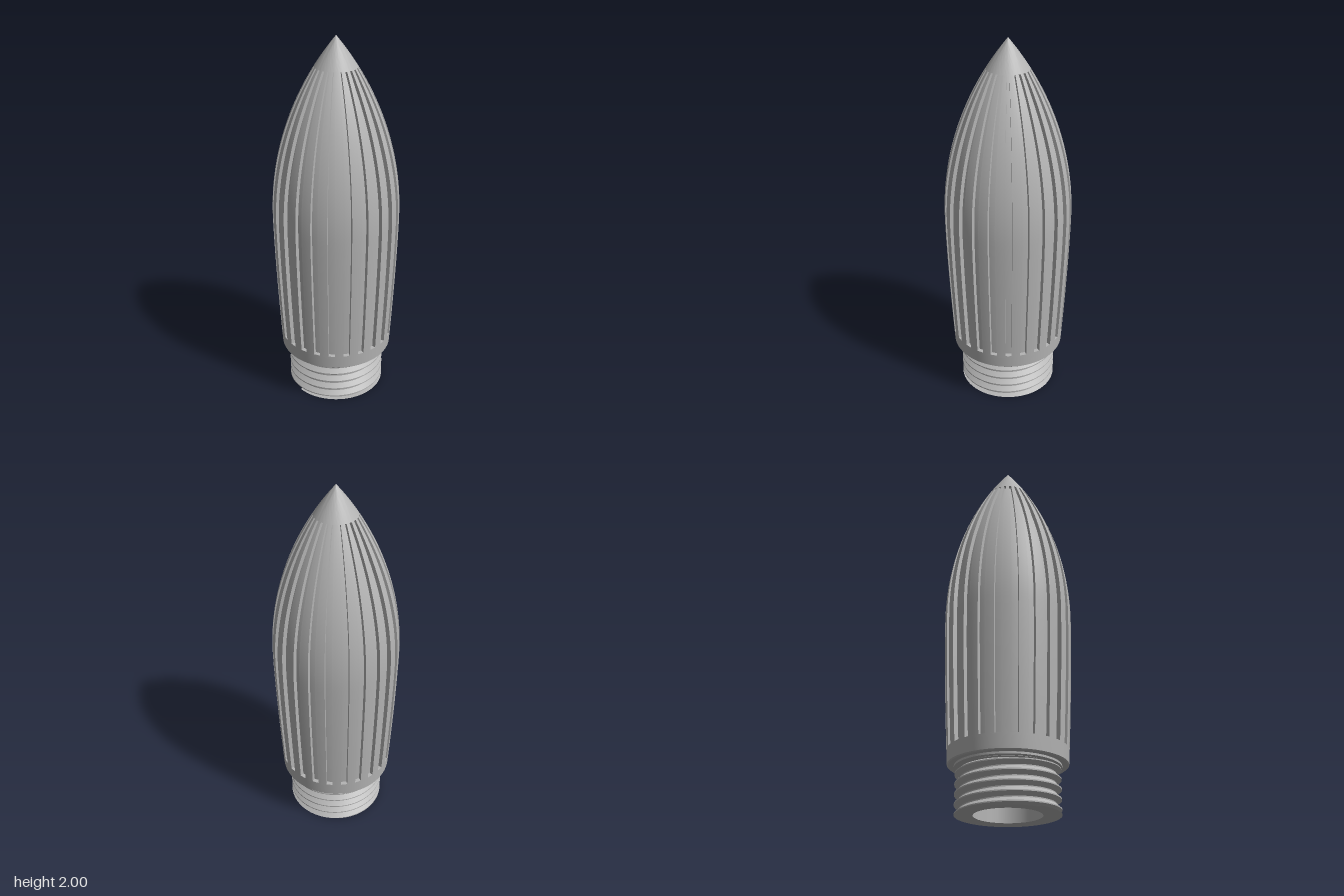
import * as THREE from 'three';
import { toCreasedNormals } from 'three/addons/utils/BufferGeometryUtils.js';

const grey = new THREE.MeshStandardMaterial({ color: 0xb4b4b4 });
grey.name = 'plain grey';

const RIBS = 24, GROOVE_HALF = THREE.MathUtils.degToRad(3.2);
const LOW = 0.325, HIGH = 1.845, WIDEST = 1.05, MAX_R = 0.337, DEPTH = 0.022;

// Outer radius of the body: gentle taper below, pointed ogive above
function bodyRadius(y) {
  if (y < WIDEST) return MAX_R - 0.032 * Math.pow((WIDEST - y) / 0.8, 1.5);
  const R = 1.5075, h = y - WIDEST;
  return Math.max(0, MAX_R - R + Math.sqrt(R * R - h * h));
}

// Points along the body profile, going upwards
function profile(y0, y1, steps, inset = 0) {
  return Array.from({ length: steps + 1 }, (_, i) => {
    const y = y0 + (y1 - y0) * i / steps;
    return [bodyRadius(y) - inset, y];
  });
}

function lathe(points, name) {
  const g = new THREE.LatheGeometry(points.map(p => new THREE.Vector2(p[0], p[1])), 96);
  const mesh = new THREE.Mesh(toCreasedNormals(g, 0.5), grey);
  mesh.name = name;
  return mesh;
}

// One rib: a box bent so x is the angle, y the height and z the radius
function ribGeometry() {
  const g = new THREE.BoxGeometry(1, 1, 1, 4, 48, 1);
  const p = g.attributes.position;
  const half = Math.PI / RIBS - GROOVE_HALF;
  for (let i = 0; i < p.count; i++) {
    const a = p.getX(i) * 2 * half;
    const y = LOW + (HIGH - LOW) * (p.getY(i) + 0.5);
    const r = bodyRadius(y) - (p.getZ(i) > 0 ? 0 : DEPTH + 0.003);
    p.setXYZ(i, r * Math.sin(a), y, r * Math.cos(a));
  }
  g.computeVertexNormals();
  return g;
}

// Screw thread: rows of a cylinder sheared into a helix
function threadGeometry() {
  const pitch = 0.05, turns = 7, base = -0.0605, top = 0.224;
  const fractions = [0, 0.12, 0.5, 0.62], radii = [0.241, 0.241, 0.265, 0.265];
  const rows = turns * 4;
  const g = new THREE.CylinderGeometry(1, 1, 1, 96, rows, true);
  const p = g.attributes.position, uv = g.attributes.uv;
  for (let i = 0; i < p.count; i++) {
    const row = Math.round(uv.getY(i) * rows), u = uv.getX(i), a = u * Math.PI * 2;
    const y = base + pitch * (Math.floor(row / 4) + fractions[row % 4] + u);
    const r = radii[row % 4];
    p.setXYZ(i, r * Math.sin(a), THREE.MathUtils.clamp(y, 0, top), r * Math.cos(a));
  }
  return toCreasedNormals(g, 0.5);
}

export function createModel() {
  const model = new THREE.Group();
  model.name = 'ribbedPointedCap';

  // Hollow threaded neck with its shoulder
  model.add(lathe([
    [0, 0.9], [0.172, 0.9], [0.172, 0], [0.241, 0], [0.241, 0.233],
    [0.27, 0.233], [0.27, 0.244],
  ], 'hollowNeck'));
  const thread = new THREE.Mesh(threadGeometry(), grey);
  thread.name = 'screwThread';
  model.add(thread);

  // Smooth collar below the ribs
  model.add(lathe([
    [0.24, 0.244], [0.299, 0.244], ...profile(0.249, LOW, 4),
    [bodyRadius(LOW) - DEPTH - 0.003, LOW],
  ], 'collar'));

  // Groove floors
  model.add(lathe(profile(LOW, HIGH, 48, DEPTH), 'grooveFloor'));

  // Ribs around the body
  const ribs = new THREE.Group();
  ribs.name = 'ribs';
  const rib = ribGeometry();
  for (let i = 0; i < RIBS; i++) {
    const mesh = new THREE.Mesh(rib, grey);
    mesh.name = 'rib';
    mesh.rotation.y = (i + 0.5) * Math.PI * 2 / RIBS;
    ribs.add(mesh);
  }
  model.add(ribs);

  // Smooth pointed nose
  model.add(lathe([
    [bodyRadius(HIGH) - DEPTH - 0.003, HIGH], ...profile(HIGH, 2, 10),
  ], 'nose'));

  return model;
}
